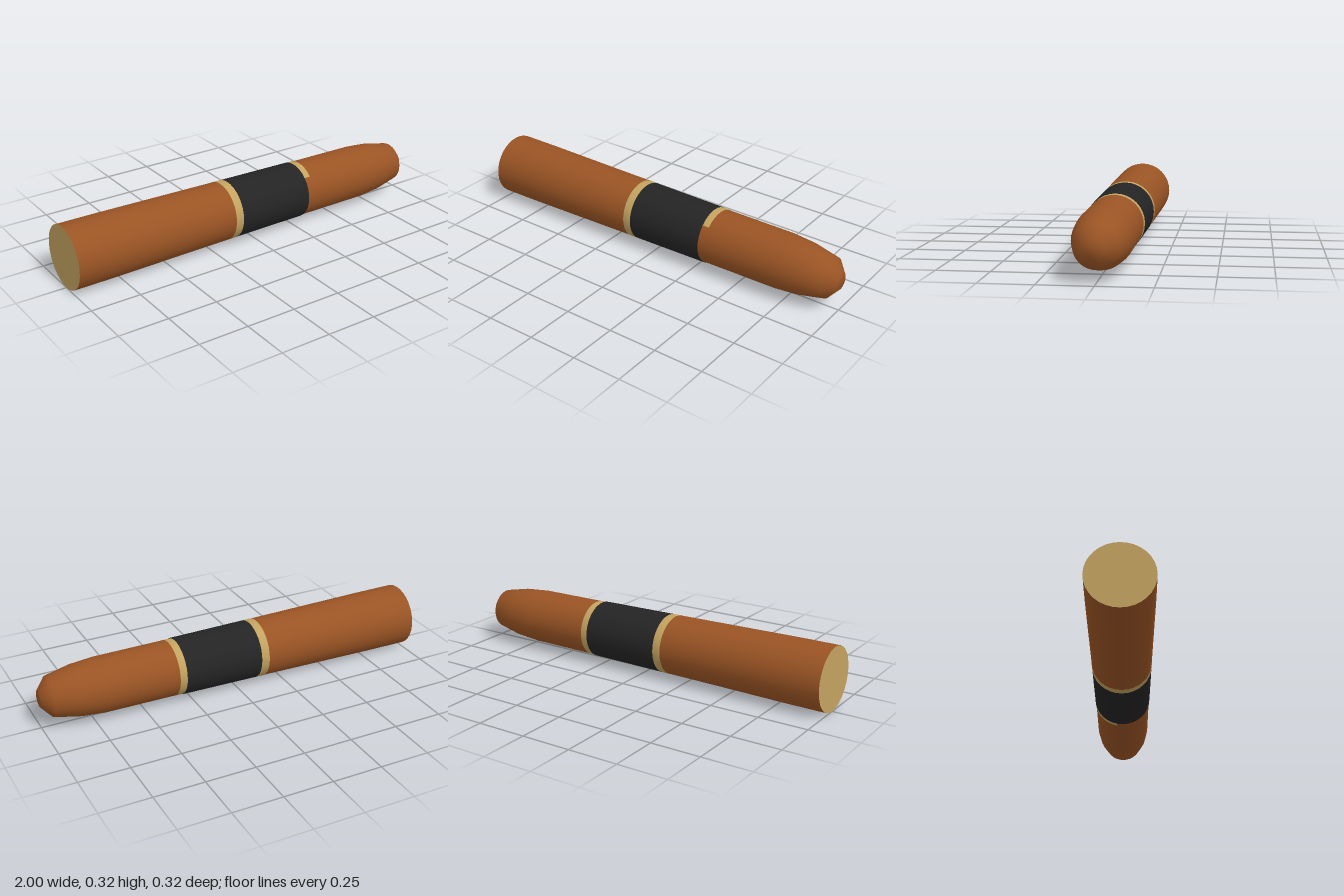
import * as THREE from 'three';

const AXIS_Y = 0.159;
const SIDES = 32;

const wrapper = new THREE.MeshStandardMaterial({ name: 'brown wrapper', color: 0x9a5424 });
const label = new THREE.MeshStandardMaterial({ name: 'black band', color: 0x242424 });
const trim = new THREE.MeshStandardMaterial({ name: 'gold trim', color: 0xc4a360 });

// Surface of revolution along x from [x, radius] pairs
function turned(name, profile, material, dy = 0, dz = 0) {
  const points = profile.map(([x, r]) => new THREE.Vector2(r, x));
  const mesh = new THREE.Mesh(new THREE.LatheGeometry(points, SIDES), material);
  mesh.name = name;
  mesh.rotation.z = -Math.PI / 2;
  mesh.position.set(0, AXIS_Y + dy, dz);
  return mesh;
}

export function createModel() {
  const group = new THREE.Group();
  group.name = 'cigar';

  // Gently tapering body with a rounded head
  group.add(turned('body', [
    [-1, 0.158], [-0.8, 0.157], [-0.15, 0.1475], [0.1, 0.1425], [0.3, 0.1395],
    [0.7, 0.137], [0.82, 0.127], [0.95, 0.1], [1, 0.042], [1, 0],
  ], wrapper));

  // Cut foot
  const foot = new THREE.Mesh(new THREE.CircleGeometry(0.158, SIDES), trim);
  foot.name = 'cutFoot';
  foot.rotation.y = -Math.PI / 2;
  foot.position.set(-1, AXIS_Y, 0);
  group.add(foot);

  // Paper band with a gold ring at each edge; the upper ring sits slightly askew
  group.add(turned('band', [
    [-0.105, 0.143], [-0.105, 0.1475], [0.3, 0.1425], [0.3, 0.138],
  ], label));
  group.add(turned('footSideRing', [
    [-0.147, 0.145], [-0.147, 0.1485], [-0.1, 0.1472], [-0.1, 0.143],
  ], trim));
  group.add(turned('headSideRing', [
    [0.29, 0.136], [0.29, 0.1403], [0.336, 0.1398], [0.336, 0.136],
  ], trim, 0.001, -0.0018));

  return group;
}
